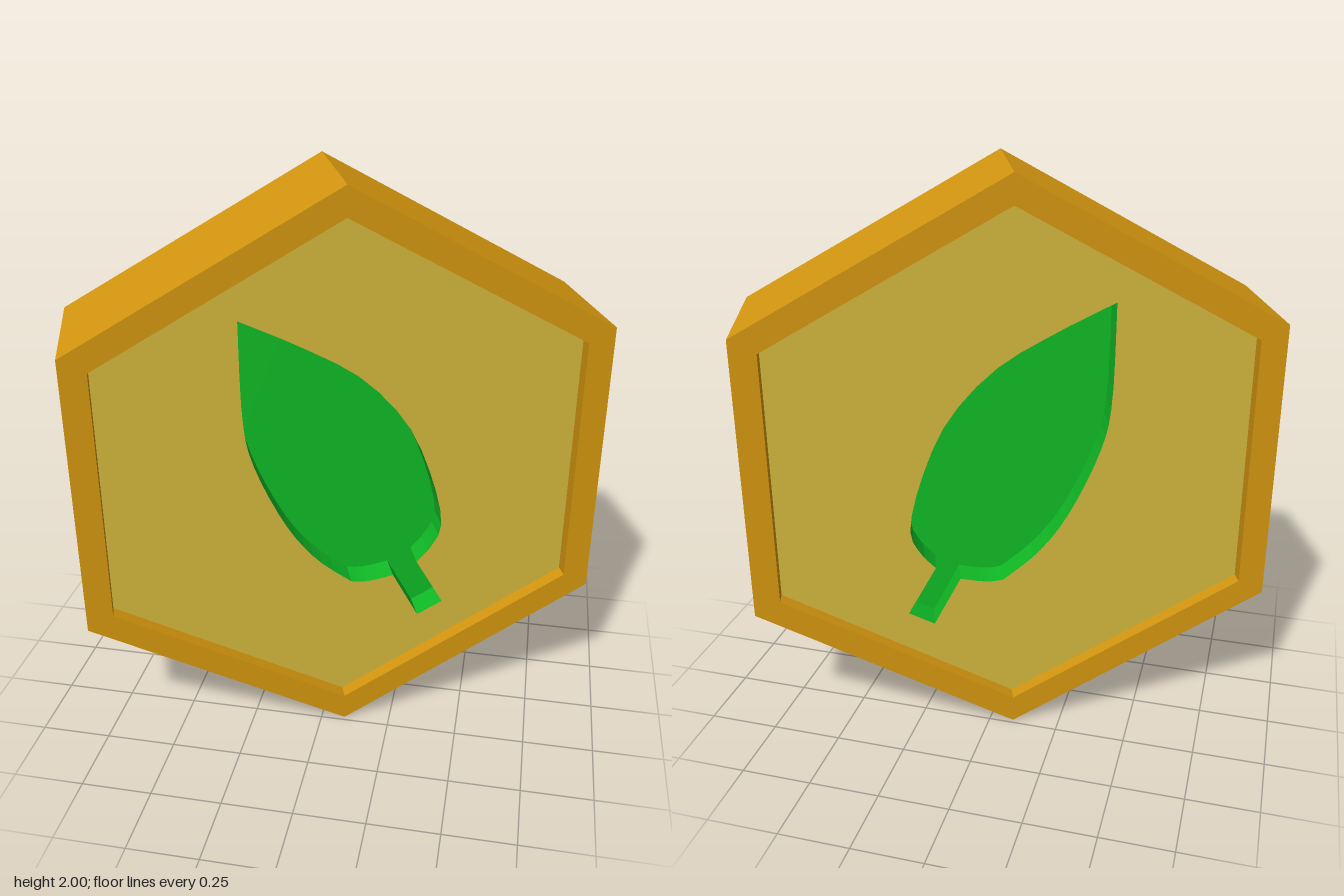
import * as THREE from 'three';

const gold = new THREE.MeshStandardMaterial({ color: 0xd4960f });
gold.name = 'gold';
const paleGold = new THREE.MeshStandardMaterial({ color: 0xd2b73d });
paleGold.name = 'paleGold';
const leafGreen = new THREE.MeshStandardMaterial({ color: 0x10bb26 });
leafGreen.name = 'leafGreen';

// Pointy-topped hexagon, 1.8 wide and 2 tall at scale 1
function hexPoints(s) {
  return [[0, 1], [-0.9, 0.5], [-0.9, -0.5], [0, -1], [0.9, -0.5], [0.9, 0.5]]
    .map(([x, y]) => new THREE.Vector2(x * s, y * s));
}

// Leaf outline with its stem
function leafPoints() {
  const smooth = (pts) =>
    new THREE.SplineCurve(pts.map(([x, y]) => new THREE.Vector2(x, y))).getPoints(18);
  const leftEdge = smooth([[-0.339, 0.575], [-0.335, 0.233], [-0.3, 0.05], [-0.2, -0.175],
    [-0.094, -0.323], [0.0315, -0.429]]);
  const base = smooth([[0.0315, -0.429], [0.09, -0.434], [0.183, -0.418]]).slice(1);
  const stem = [new THREE.Vector2(0.278, -0.598), new THREE.Vector2(0.369, -0.55)];
  const rightEdge = smooth([[0.268, -0.37], [0.32, -0.31], [0.353, -0.217], [0.31, -0.03],
    [0.217, 0.18], [0.06, 0.355], [-0.137, 0.475], [-0.339, 0.575]]).slice(0, -1);
  return [...leftEdge, ...base, ...stem, ...rightEdge];
}

// Extrude an outline, centred on z = 0
function slab(name, outline, hole, depth, materials) {
  const shape = new THREE.Shape(outline);
  if (hole) shape.holes.push(new THREE.Path(hole));
  const geometry = new THREE.ExtrudeGeometry(shape, { depth, bevelEnabled: false });
  geometry.translate(0, 0, -depth / 2);
  const mesh = new THREE.Mesh(geometry, materials);
  mesh.name = name;
  return mesh;
}

export function createModel() {
  const model = new THREE.Group();
  model.name = 'leafToken';

  // Raised hexagonal border
  model.add(slab('rim', hexPoints(1), hexPoints(0.9), 0.5, gold));
  // Recessed field on both faces, cut through by the leaf; cut walls are green
  model.add(slab('field', hexPoints(0.91), leafPoints(), 0.4, [paleGold, leafGreen]));
  // Floor of the engraved leaf on both faces
  model.add(slab('leafFloor', leafPoints(), null, 0.2, leafGreen));

  model.rotation.y = THREE.MathUtils.degToRad(20);
  model.position.y = 1;
  const root = new THREE.Group();
  root.name = 'token';
  root.add(model);
  return root;
}
